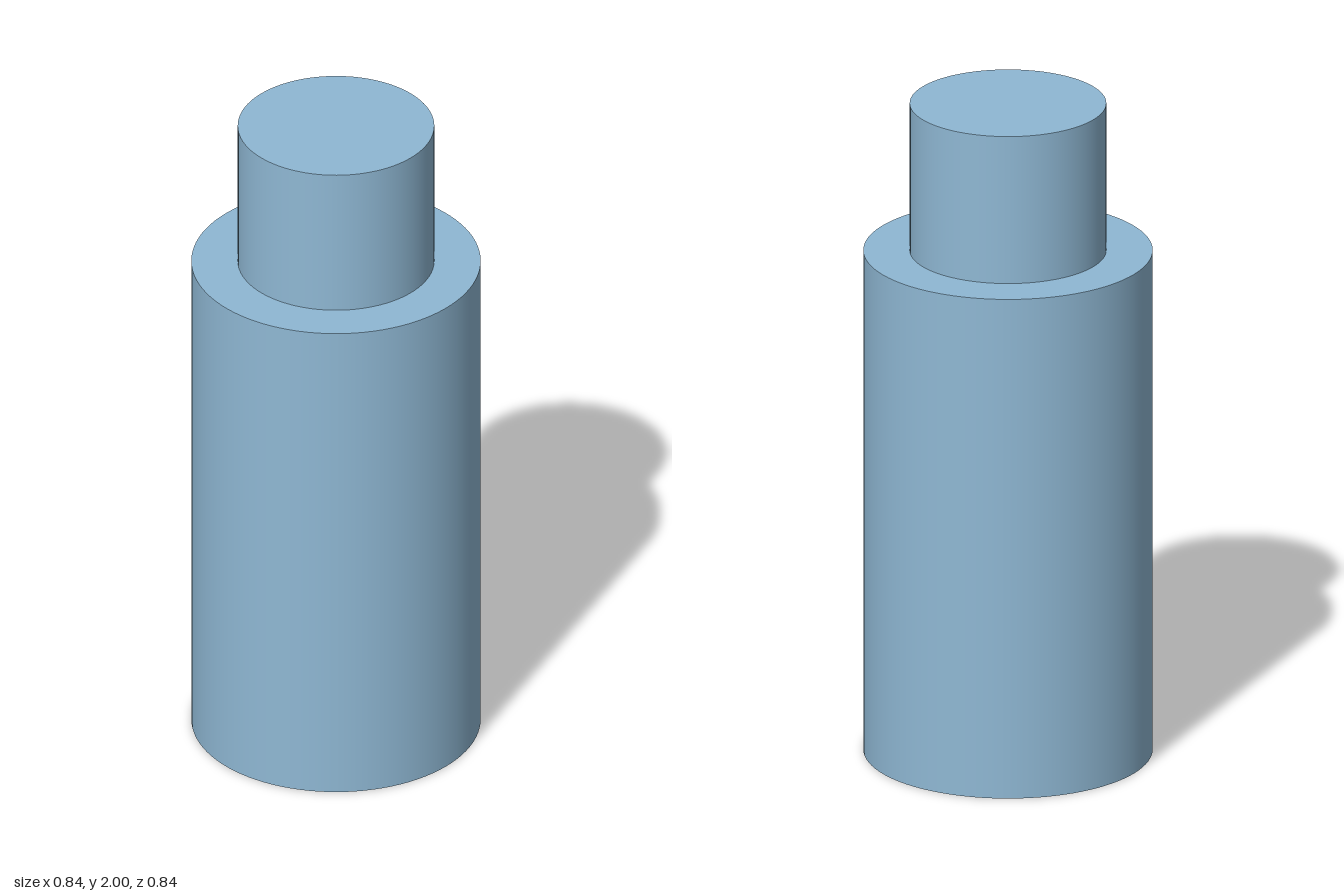
import * as THREE from 'three';

export function createModel() {
  const group = new THREE.Group();
  group.name = 'steppedShaft';
  const material = new THREE.MeshStandardMaterial({ color: 0x8fb8d4 });

  // Upright solid cylinder spanning y0 to y1
  const addCylinder = (name, radius, y0, y1) => {
    const mesh = new THREE.Mesh(new THREE.CylinderGeometry(radius, radius, y1 - y0, 96), material);
    mesh.name = name;
    mesh.position.y = (y0 + y1) / 2;
    group.add(mesh);
  };

  const shoulder = 1.545;
  addCylinder('body', 0.421, 0, shoulder); // wide lower body
  addCylinder('neck', 0.286, shoulder, 2); // narrower upper boss

  return group;
}
